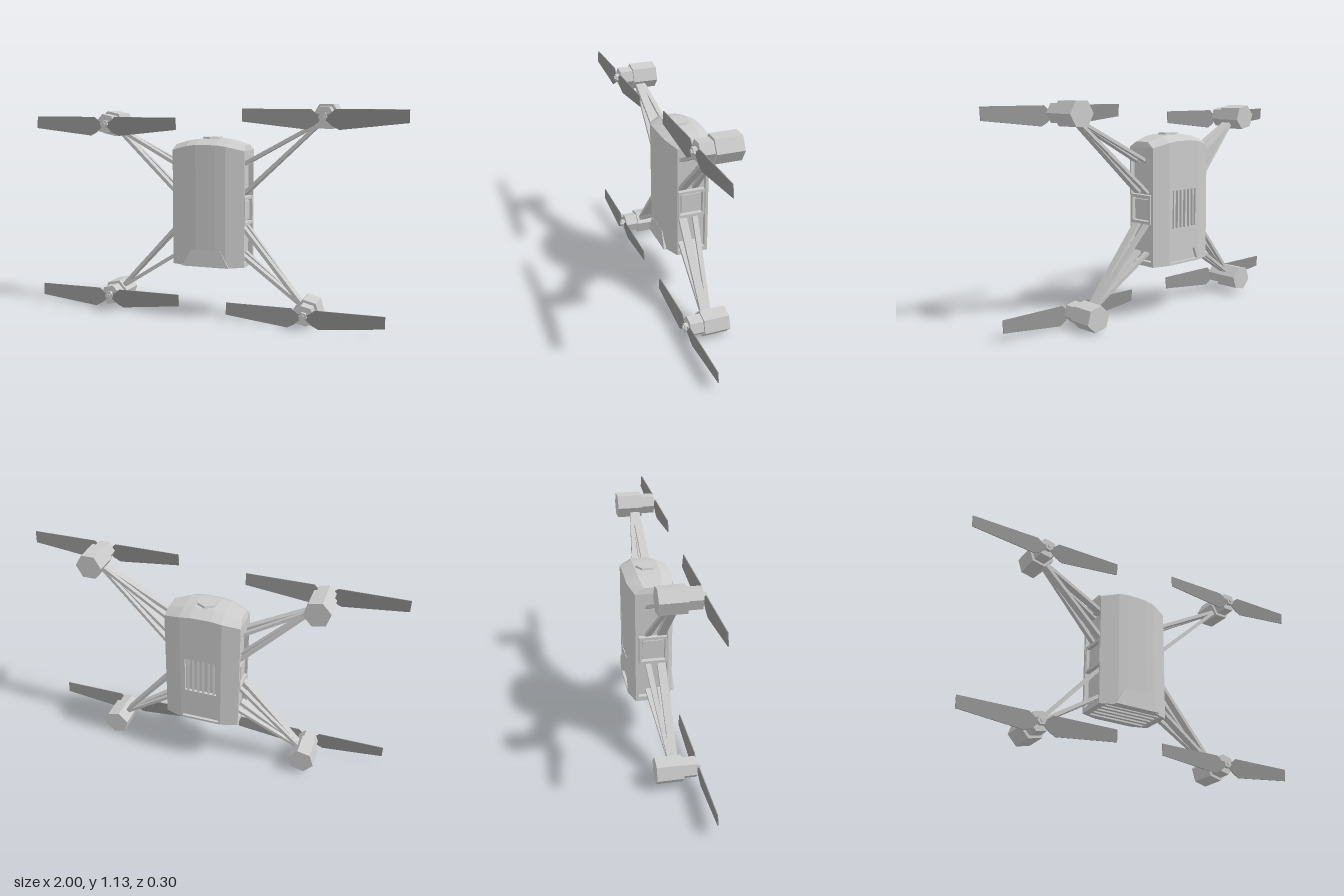
import * as THREE from 'three';

const grey = new THREE.MeshStandardMaterial({ color: 0xcccccc, flatShading: true });
const dark = new THREE.MeshStandardMaterial({ color: 0x929292, flatShading: true });

const BODY_X = -0.03, HALF = 0.2, BOTTOM = 0.28;
const XS = [-0.2, -0.11, -0.055, 0.055, 0.11, 0.2];
const FRONT_Z = [0.05, 0.088, 0.094, 0.094, 0.088, 0.05];
const BACK_Z = [-0.12, -0.148, -0.148, -0.148, -0.148, -0.12];
const arch = (x) => 0.033 * (1 - (x / HALF) ** 2);
const shoulderY = (x) => 0.893 + arch(x);

function add(parent, name, geometry, material = grey) {
  const mesh = new THREE.Mesh(geometry, material);
  mesh.name = name;
  parent.add(mesh);
  return mesh;
}

function box(parent, name, w, h, d, x, y, z) {
  const mesh = add(parent, name, new THREE.BoxGeometry(w, h, d));
  mesh.position.set(x, y, z);
  return mesh;
}

const toShape = (pts) => new THREE.Shape(pts.map(([x, y]) => new THREE.Vector2(x, y)));
const rect = (x0, x1, y0, y1) => [[x0, y0], [x1, y0], [x1, y1], [x0, y1]];

// Wall panel with sunken openings; its outer face lies at local z = 0
function panel(parent, name, outline, holes, depth) {
  const group = new THREE.Group();
  group.name = name;
  const shape = toShape(outline);
  holes.forEach((h) => shape.holes.push(toShape(h)));
  const wall = new THREE.ExtrudeGeometry(shape, { depth, bevelEnabled: false });
  add(group, name + 'Wall', wall.translate(0, 0, -depth));
  add(group, name + 'Floor', new THREE.ShapeGeometry(toShape(outline)).translate(0, 0, -depth + 0.0005));
  parent.add(group);
  return group;
}

// Faceted shell: front wall, rounded corners, chamfered shoulder and arched roof
function shellGeometry() {
  const ring = [
    ...XS.map((x, i) => [x, FRONT_Z[i]]),
    ...XS.map((x, i) => [x, BACK_Z[i]]).reverse(),
  ];
  const levels = [
    ([x, z]) => [x, BOTTOM, z],
    ([x, z]) => [x, shoulderY(x), z],
    ([x, z]) => [x * 0.96, 0.922 + arch(x), -0.03 + (z + 0.03) * 0.5],
  ].map((rule) => ring.map(rule));
  const pos = [];
  const quad = (a, b, c, d) => pos.push(...a, ...b, ...c, ...a, ...c, ...d);
  const n = ring.length;
  const openings = [5, 7, 8, 9, 11]; // filled by the side and back panels
  for (let l = 0; l < 2; l++) {
    for (let i = 0; i < n; i++) {
      if (l === 0 && openings.includes(i)) continue;
      const j = (i + 1) % n;
      quad(levels[l][i], levels[l][j], levels[l + 1][j], levels[l + 1][i]);
    }
  }
  const top = levels[2];
  for (let i = 0; i < 5; i++) quad(top[i], top[i + 1], top[n - 2 - i], top[n - 1 - i]);
  const geo = new THREE.BufferGeometry();
  geo.setAttribute('position', new THREE.Float32BufferAttribute(pos, 3));
  geo.computeVertexNormals();
  return geo;
}

function createBody() {
  const body = new THREE.Group();
  body.name = 'body';
  body.position.x = BODY_X;
  add(body, 'shell', shellGeometry());

  // Side bays with a framed port in the middle
  for (const s of [1, -1]) {
    const span = (z0, z1, y0, y1) => rect(Math.min(-s * z0, -s * z1), Math.max(-s * z0, -s * z1), y0, y1);
    const side = panel(body, s > 0 ? 'leftSide' : 'rightSide',
      span(-0.12, 0.05, BOTTOM, shoulderY(HALF)), [span(-0.105, 0.043, 0.305, 0.82)], 0.025);
    side.rotation.y = s * Math.PI / 2;
    side.position.x = s * HALF;
    const frame = toShape(span(-0.1, 0.042, 0.5, 0.65));
    frame.holes.push(toShape(span(-0.09, 0.033, 0.515, 0.635)));
    add(side, 'portFrame', new THREE.ExtrudeGeometry(frame, { depth: 0.026, bevelEnabled: false }))
      .position.z = -0.025;
    box(side, 'port', 0.105, 0.1, 0.014, s * 0.0285, 0.575, -0.018);
  }

  // Back wall with a slatted vent and a finger notch
  const back = panel(body, 'back', [
    [-0.11, BOTTOM], [0.11, BOTTOM],
    ...XS.slice(1, 5).reverse().map((x) => [x, shoulderY(x)]),
  ], [
    rect(-0.085, 0.085, 0.47, 0.67),
    [[-0.105, 0.284], [0.105, 0.284], [0.08, 0.35], [-0.08, 0.35]],
  ], 0.016);
  back.rotation.y = Math.PI;
  back.position.z = -0.148;
  for (let i = 0; i < 6; i++) {
    box(back, 'ventSlat', 0.013, 0.2, 0.012, -0.07 + i * 0.028, 0.57, -0.009).rotation.y = 0.3;
  }

  // Ribbed underside
  const base = panel(body, 'base', [
    ...XS.map((x, i) => [x, FRONT_Z[i]]),
    ...XS.map((x, i) => [x, BACK_Z[i]]).reverse(),
  ], [rect(-0.165, 0.165, -0.11, 0.055)], 0.012);
  base.rotation.x = Math.PI / 2;
  base.position.y = BOTTOM;
  for (let i = 0; i < 4; i++) box(base, 'baseRib', 0.33, 0.018, 0.01, 0, -0.085 + i * 0.038, -0.007);

  // Raised lip low on the front, cap on the roof
  const lip = toShape([[-0.13, 0], [0.13, 0], [0.08, 0.09], [-0.08, 0.09]]);
  const lipMesh = add(body, 'frontLip', new THREE.ExtrudeGeometry(lip, { depth: 0.012, bevelEnabled: false }));
  lipMesh.position.set(0, BOTTOM, 0.087);
  lipMesh.rotation.x = -0.05;
  add(body, 'roofCap', new THREE.CylinderGeometry(0.052, 0.06, 0.022, 6)).position.set(0, 0.951, -0.03);
  return body;
}

// Beam from a to b in the xy plane, with its own z range at each end
function beam(parent, name, a, b, width, za, zb) {
  const dx = b[0] - a[0], dy = b[1] - a[1];
  const geo = new THREE.BoxGeometry(width, Math.hypot(dx, dy), 1);
  const p = geo.attributes.position;
  for (let i = 0; i < p.count; i++) {
    const range = p.getY(i) < 0 ? za : zb;
    p.setZ(i, p.getZ(i) < 0 ? range[0] : range[1]);
  }
  geo.computeVertexNormals();
  const mesh = add(parent, name, geo);
  mesh.rotation.z = Math.atan2(-dx, dy);
  mesh.position.set((a[0] + b[0]) / 2, (a[1] + b[1]) / 2, 0);
}

function hexPrism(parent, name, radius, z0, z1, turn) {
  const geo = new THREE.CylinderGeometry(radius, radius, z1 - z0, 6);
  geo.rotateY(Math.PI / 6).rotateX(Math.PI / 2);
  const mesh = add(parent, name, geo);
  mesh.rotation.z = turn;
  mesh.position.z = (z0 + z1) / 2;
  return mesh;
}

function createRotor(x, y, turn) {
  const rotor = new THREE.Group();
  rotor.name = 'rotor';
  rotor.position.set(x, y, 0);
  // a hexagon with its corners at left and right, then turned with the arm
  hexPrism(rotor, 'motorHousing', 0.07, -0.085, 0.05, turn);
  hexPrism(rotor, 'motor', 0.055, 0.05, 0.12, turn);
  hexPrism(rotor, 'hub', 0.023, 0.12, 0.14, turn);
  hexPrism(rotor, 'hubNut', 0.011, 0.14, 0.147, turn);
  for (const s of [1, -1]) {
    const outline = [[0.01, 0.012], [0.03, 0.012], [0.06, 0.037], [0.41, 0.037],
      [0.41, -0.027], [0.08, -0.063], [0.045, -0.045], [0.01, -0.014]];
    const geo = new THREE.ExtrudeGeometry(toShape(outline.map(([u, v]) => [s * u, v])),
      { depth: 0.004, bevelEnabled: false });
    const blade = add(rotor, 'blade', geo, dark);
    blade.position.z = 0.125;
    blade.rotation.x = s * 0.07;
  }
  return rotor;
}

export function createModel() {
  const model = new THREE.Group();
  model.name = 'drone';
  model.add(createBody());

  // Folding arms: motor x, y, turn and the two heights where the struts meet the body
  const arms = [
    [0.59, 1.074, 0, 0.82, 0.66],
    [-0.59, 1.028, -0.21, 0.81, 0.655],
    [0.506, 0.07, -0.25, 0.345, 0.5],
    [-0.58, 0.09, 0.21, 0.335, 0.49],
  ];
  for (const [x, y, turn, outer, inner] of arms) {
    const arm = new THREE.Group();
    arm.name = 'arm';
    const rootX = BODY_X + Math.sign(x) * (HALF - 0.022);
    for (const rootY of [outer, inner]) {
      const tip = [x - Math.sign(x) * 0.025, y - Math.sign(y - 0.6) * 0.025];
      beam(arm, 'frontStrut', [rootX, rootY], tip, 0.018, [-0.005, 0.038], [-0.005, 0.036]);
      beam(arm, 'rearStrut', [rootX, rootY], tip, 0.016, [-0.068, -0.038], [-0.014, 0.004]);
    }
    arm.add(createRotor(x, y, turn));
    model.add(arm);
  }
  return model;
}
